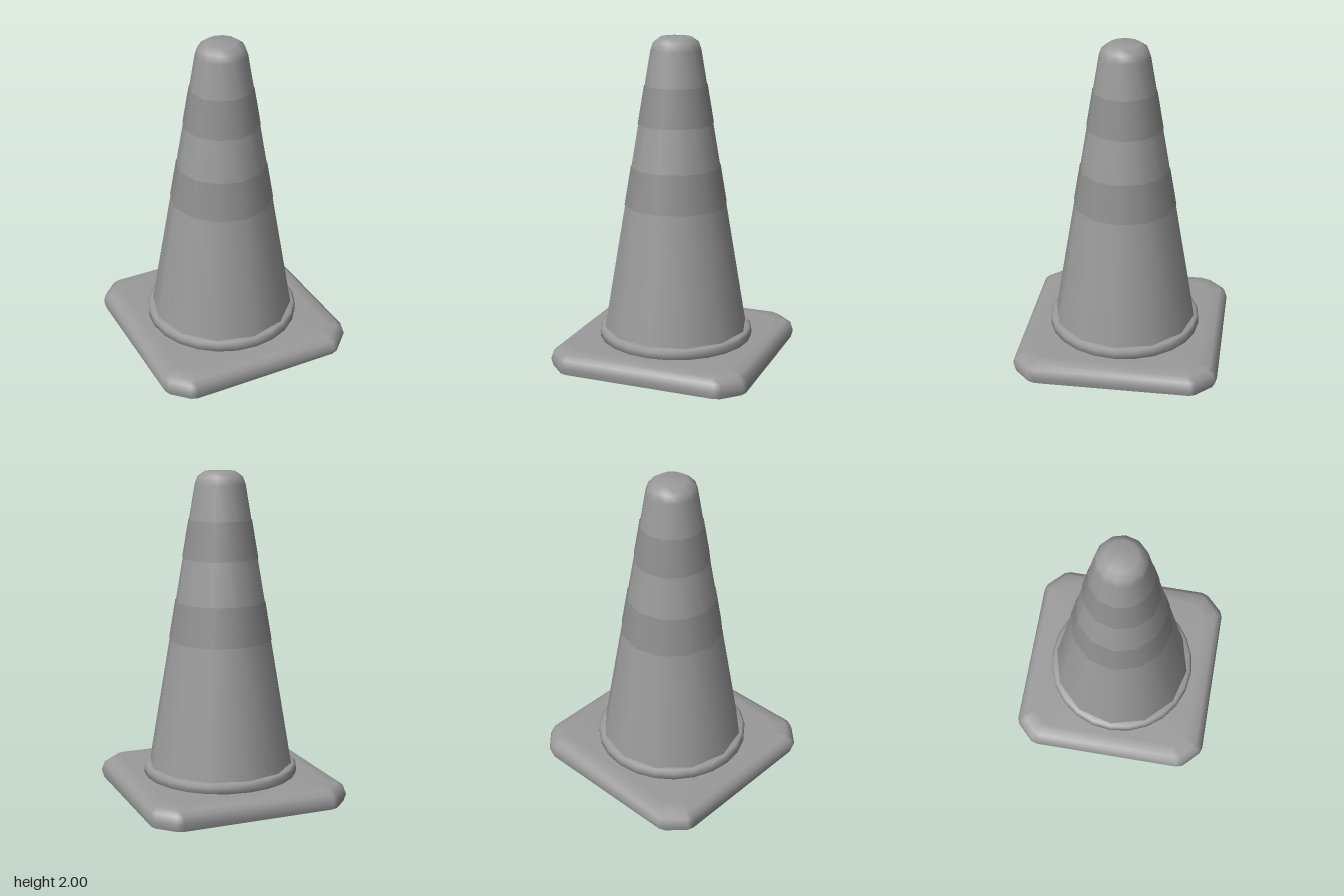
import * as THREE from 'three';

const grey = new THREE.MeshStandardMaterial({ color: 0x9a9a9a });
const greyDouble = new THREE.MeshStandardMaterial({ color: 0x9a9a9a, side: THREE.DoubleSide });
const bandGrey = new THREE.MeshStandardMaterial({ color: 0x8e8e8e, side: THREE.DoubleSide });

function lathe(profile, sides) {
  return new THREE.LatheGeometry(profile.map(([r, y]) => new THREE.Vector2(r, y)), sides);
}

function addMesh(group, name, geometry, material) {
  const mesh = new THREE.Mesh(geometry, material);
  mesh.name = name;
  group.add(mesh);
}

// Square outline of half width h with softened, cut-off corners
function baseLoop(h) {
  const d = 0.635 - h;
  const side = [[h, 0.48 - 0.4 * d], [h - 0.014, 0.52 - 0.55 * d]];
  const corner = [...side, ...side.map(([a, b]) => [b, a]).reverse()];
  const loop = [];
  for (let k = 0; k < 4; k++) {
    const c = [1, 0, -1, 0][k], s = [0, 1, 0, -1][k];
    for (const [x, z] of corner) loop.push([x * c - z * s, x * s + z * c]);
  }
  return loop;
}

// Hollow foot, open underneath: stacked outlines closed by a flat top
function baseGeometry() {
  const levels = [[0.625, 0], [0.637, 0.045], [0.623, 0.09], [0.59, 0.115], [0.515, 0.125]];
  const positions = [], index = [], n = 16;
  for (const [h, y] of levels) {
    for (const [x, z] of baseLoop(h)) positions.push(x, y, z);
  }
  for (let i = 0; i < levels.length - 1; i++) {
    for (let j = 0; j < n; j++) {
      const a = i * n + j, b = i * n + (j + 1) % n;
      index.push(a, a + n, b + n, a, b + n, b);
    }
  }
  const last = (levels.length - 1) * n;
  positions.push(0, 0.125, 0);
  for (let j = 0; j < n; j++) index.push(last + j, last + n, last + (j + 1) % n);
  const geometry = new THREE.BufferGeometry();
  geometry.setAttribute('position', new THREE.Float32BufferAttribute(positions, 3));
  geometry.setIndex(index);
  geometry.computeVertexNormals();
  return geometry;
}

const coneRadius = (y) => 0.45 - (y - 0.18) * 0.1695;

export function createModel() {
  const group = new THREE.Group();
  group.name = 'trafficCone';

  addMesh(group, 'base', baseGeometry(), greyDouble);

  // Rounded ring where the cone meets the foot, showing slightly underneath
  addMesh(group, 'collar', lathe([
    [0.45, 0.125], [0.452, 0.12], [0.48, 0.12], [0.48, 0.165], [0.465, 0.181], [0.43, 0.185],
  ], 24), greyDouble);

  // Twelve-sided body with a rounded tip
  addMesh(group, 'coneBody', lathe([
    [coneRadius(0.15), 0.15], [coneRadius(1.0), 1.0], [coneRadius(1.92), 1.92],
    [0.139, 1.967], [0.095, 1.998], [0, 2],
  ], 12), grey);

  // Thin darker sleeves around the body
  for (const [name, low, high] of [['lowerBand', 0.97, 1.21], ['upperBand', 1.475, 1.71]]) {
    const lift = 0.004;
    addMesh(group, name, lathe([[coneRadius(low) + lift, low], [coneRadius(high) + lift, high]], 12), bandGrey);
  }
  return group;
}
